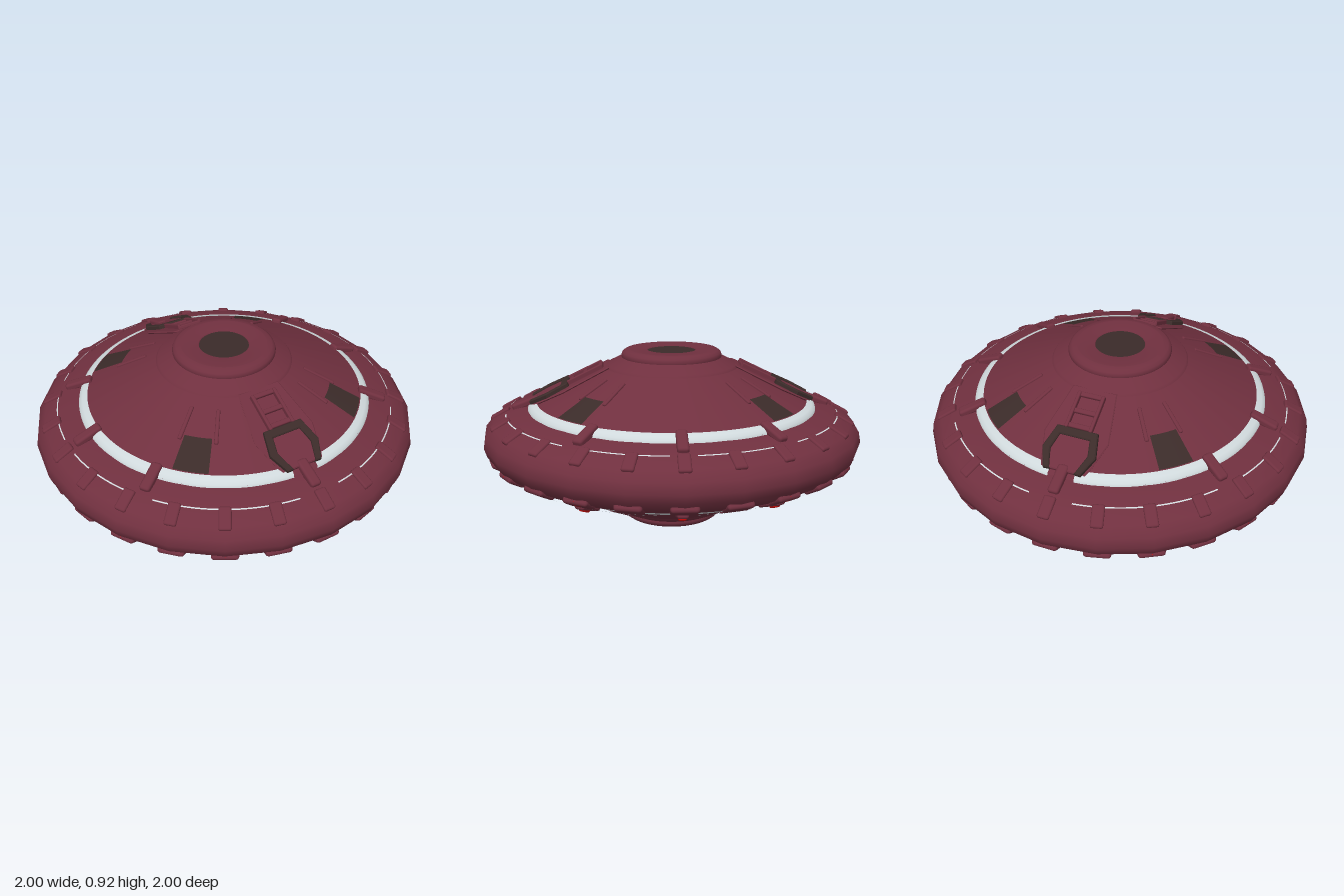
import * as THREE from 'three';
import { RoundedBoxGeometry } from 'three/addons/geometries/RoundedBoxGeometry.js';

const RAD = Math.PI / 180;
const HEIGHT = 0.915;
const SLOPE = 0.489; // fall of the cone per unit of radius
const TILT = Math.atan(SLOPE);
const CLAMPS = [0, 56, 90, 124, 180, 236, 270, 304];

function material(name, color) {
  const m = new THREE.MeshStandardMaterial({ color, side: THREE.DoubleSide });
  m.name = name;
  return m;
}

export function createModel() {
  const hull = material('maroon hull', 0x70303f);
  const white = material('pale ring', 0xd0d9dc);
  const dark = material('dark brown', 0x3b2b29);
  const red = material('red light', 0xd40d0a);

  const coneY = (r) => 0.865 - SLOPE * (r - 0.27);

  function add(parent, name, geometry, mat) {
    const mesh = new THREE.Mesh(geometry, mat);
    mesh.name = name;
    parent.add(mesh);
    return mesh;
  }

  // Turned surface, angles in degrees measured from the front (+z)
  function turned(points, segments, start = 0, sweep = 360) {
    const profile = points.map(([r, y]) => new THREE.Vector2(r, y));
    return new THREE.LatheGeometry(profile, segments, start * RAD, sweep * RAD);
  }

  // Block placed on the hull at an angle, radius and height, tipped outward
  function block(parent, name, mat, size, angle, r, y, tip) {
    const mesh = add(parent, name, new RoundedBoxGeometry(...size, 2, Math.min(...size) * 0.35), mat);
    mesh.rotation.set(tip, angle * RAD, 0, 'YXZ');
    mesh.position.set(Math.sin(angle * RAD) * r, y, Math.cos(angle * RAD) * r);
    return mesh;
  }

  // Flat plate in slope coordinates: x across, s downhill
  function plate(parent, name, mat, points, depth, bevel = 0.005) {
    const shape = new THREE.Shape(points.map(([x, s]) => new THREE.Vector2(x, -s)));
    const g = new THREE.ExtrudeGeometry(shape, {
      depth: depth - bevel, bevelEnabled: true, bevelSize: bevel, bevelThickness: bevel, bevelSegments: 1,
    });
    g.rotateX(-Math.PI / 2);
    return add(parent, name, g, mat);
  }

  // Hatch with its dark frame and the duct running up the slope
  function hatch(angle) {
    const turn = new THREE.Group();
    turn.name = 'hatch';
    turn.rotation.y = angle * RAD;
    const g = new THREE.Group();
    g.name = 'hatchAssembly';
    g.position.set(0, coneY(0.27), 0.27);
    g.rotation.x = TILT;
    turn.add(g);
    plate(g, 'hatchBase', hull, [[-0.11, 0.07], [0.11, 0.07], [0.16, 0.33], [0.11, 0.51], [-0.11, 0.51], [-0.16, 0.33]], 0.006);
    plate(g, 'hatchFrame', dark, [
      [-0.09, 0.515], [-0.13, 0.42], [-0.1, 0.302], [0.1, 0.302], [0.13, 0.42], [0.09, 0.515],
      [0.068, 0.515], [0.1, 0.42], [0.08, 0.335], [-0.08, 0.335], [-0.1, 0.42], [-0.068, 0.515],
    ], 0.028);
    plate(g, 'hatchDoor', hull, [[-0.075, 0.34], [0.075, 0.34], [0.092, 0.42], [0.065, 0.51], [-0.065, 0.51], [-0.092, 0.42]], 0.018);
    for (const x of [-0.062, 0.062]) {
      add(g, 'ductRail', new RoundedBoxGeometry(0.018, 0.04, 0.2, 2, 0.006), hull).position.set(x, 0.01, 0.2);
    }
    for (const s of [0.11, 0.2, 0.28]) {
      add(g, 'ductRung', new RoundedBoxGeometry(0.13, 0.028, 0.025, 2, 0.006), hull).position.set(0, 0.008, s);
    }
    return turn;
  }

  // One face of the saucer, built pointing up
  function half(name, patches, lit) {
    const g = new THREE.Group();
    g.name = name;
    add(g, 'cone', turned([[0.76, coneY(0.76)], [0.6, coneY(0.6)], [0.45, coneY(0.45)], [0.25, coneY(0.25)]], 48), hull);
    add(g, 'capSide', turned([[0.25, 0.855], [0.262, 0.862], [0.265, 0.885], [0.26, 0.9], [0.245, 0.911], [0.22, 0.915]], 48), hull);
    add(g, 'capTop', turned([[0.22, 0.915], [0.13, 0.912], [0.125, 0.9]], 48), hull);
    const disc = add(g, 'capWell', new THREE.CircleGeometry(0.13, 32), dark);
    disc.rotation.x = -Math.PI / 2;
    disc.position.y = 0.905;

    // Low collar where the cap meets the cone
    add(g, 'collar', turned([[0.35, coneY(0.35)], [0.34, coneY(0.34) + 0.008], [0.26, coneY(0.26) + 0.008]], 48), hull);

    // Pale ring and hairline, broken by the clamps
    CLAMPS.forEach((a, i) => {
      const next = i + 1 < CLAMPS.length ? CLAMPS[i + 1] : 360;
      const gapA = a % 180 === 0 ? 5 : 2;
      const gapB = next % 180 === 0 ? 5 : 2;
      const sweep = next - a - gapA - gapB;
      add(g, 'paleRing', turned([[0.762, 0.618], [0.758, 0.632], [0.742, 0.645], [0.715, 0.654]], 16, a + gapA, sweep), white);
      add(g, 'hairline', turned([[0.879, 0.595], [0.873, 0.598]], 24, a + gapA + 2, sweep - 4), white);
      block(g, 'ringClamp', hull, [0.055, 0.04, 0.15], a, 0.775, 0.63, 0.36);
      if (lit) block(g, 'clampLight', red, [0.04, 0.03, 0.05], a, 0.8, 0.635, 0.4);
    });

    // Dark panels on the cone
    for (const [centre, width] of patches) {
      const p = [[0.71, coneY(0.71) + 0.006], [0.55, coneY(0.55) + 0.006]];
      add(g, 'darkPanel', turned(p, 6, centre - width / 2, width), dark);
      for (const side of [-1, 1]) {
        block(g, 'panelRib', hull, [0.02, 0.02, 0.18], centre + side * (width / 2 + 2), 0.49, coneY(0.49), TILT);
      }
    }
    g.add(hatch(0), hatch(180));
    return g;
  }

  const model = new THREE.Group();
  model.name = 'saucer';

  const topPatches = [43, 137, 223, 317].map((a) => [a, 14]);
  model.add(half('upperHalf', topPatches, false));

  const lowPatches = [50, 130, 230, 310].map((a) => [a, 6]);
  const lower = half('lowerHalf', lowPatches, true);
  lower.rotation.x = Math.PI;
  lower.position.y = HEIGHT;
  model.add(lower);

  // Faceted outer rim
  add(model, 'rim', turned([
    [0.73, 0.29], [0.76, 0.291], [0.87, 0.325], [0.945, 0.365], [0.985, 0.41], [1, 0.457],
    [0.99, 0.51], [0.95, 0.557], [0.875, 0.594], [0.76, 0.62], [0.73, 0.62],
  ], 24), hull);

  // Ribs above and pods below, every 15 degrees, with lights on some pods
  for (let a = 0; a < 360; a += 15) {
    block(model, 'rimRib', hull, [0.06, 0.03, 0.11], a, 0.91, 0.572, 0.5);
    block(model, 'rimPod', hull, [0.13, 0.045, 0.1], a, 0.922, 0.367, -0.5);
    if (a % 90 === 30 || a % 90 === 60) {
      const lamp = add(model, 'podLight', new THREE.SphereGeometry(1, 16, 10), red);
      lamp.scale.set(0.045, 0.013, 0.03);
      lamp.rotation.set(-0.65, a * RAD, 0, 'YXZ');
      lamp.position.set(Math.sin(a * RAD) * 0.945, 0.368, Math.cos(a * RAD) * 0.945);
    }
  }
  return model;
}
